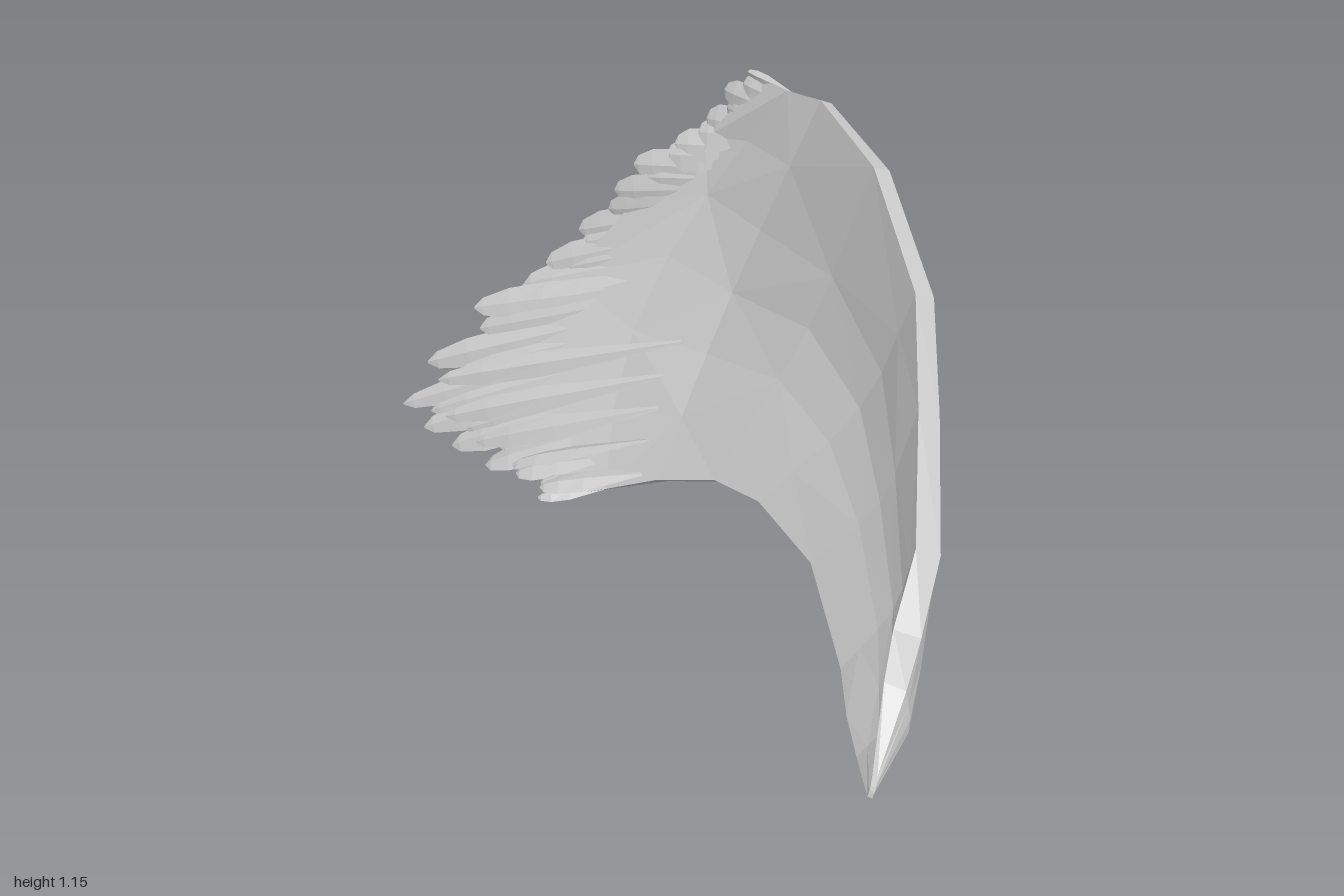
import * as THREE from 'three';

const V = (p) => new THREE.Vector3(...p);
const curve = (pts) => new THREE.CatmullRomCurve3(pts.map(V));
const material = new THREE.MeshStandardMaterial({ color: 0xcccccc, flatShading: true, side: THREE.DoubleSide });

// Chordwise sections from the front tip back to the feather roots: lower edge, middle, upper edge
const sections = [
  [[0.235, 0.18, 1.0], [0.24, 0.195, 0.998], [0.25, 0.22, 0.98]],
  [[0.285, 0.155, 0.88], [0.345, 0.25, 0.89], [0.335, 0.355, 0.88]],
  [[0.31, 0.167, 0.76], [0.4, 0.29, 0.77], [0.4, 0.4, 0.77]],
  [[0.33, 0.19, 0.62], [0.44, 0.35, 0.63], [0.485, 0.5, 0.62]],
  [[0.33, 0.275, 0.32], [0.47, 0.47, 0.38], [0.545, 0.71, 0.38]],
  [[0.26, 0.29, 0.06], [0.48, 0.58, 0.14], [0.575, 0.91, 0.2]],
  [[0.18, 0.26, -0.1], [0.42, 0.65, -0.14], [0.55, 1.09, -0.1]],
  [[0.05, 0.18, -0.25], [0.29, 0.6, -0.45], [0.49, 1.14, -0.4]],
  [[-0.08, 0.1, -0.36], [0, 0.33, -0.58], [0.15, 0.62, -0.66], [0.3, 0.88, -0.63], [0.42, 1.13, -0.51]],
];
const thickness = [0.012, 0.05, 0.065, 0.065, 0.06, 0.055, 0.05, 0.04, 0.025, 0.006];
const ROOT = sections.length - 1;

// Feather tips along the trailing edge, bottom to top
const tips = [
  [-0.27, 0.05, -0.42], [-0.31, 0.05, -0.55], [-0.38, 0.01, -0.67], [-0.46, 0.005, -0.8],
  [-0.53, 0.02, -0.89], [-0.58, 0.05, -0.98], [-0.5, 0.17, -1.0], [-0.36, 0.35, -0.97],
  [-0.22, 0.44, -0.92], [-0.16, 0.51, -0.9], [-0.07, 0.62, -0.87], [0.02, 0.76, -0.81],
  [0.07, 0.84, -0.79], [0.17, 0.91, -0.74], [0.25, 0.99, -0.71], [0.29, 1.08, -0.68], [0.34, 1.14, -0.64],
];
const rootCurve = curve(sections[ROOT]);
const innerCurve = curve(sections[ROOT - 1]);
const tipCurve = curve(tips);
const COLS = 7;

function meshFrom(name, positions, index) {
  const g = new THREE.BufferGeometry();
  g.setAttribute('position', new THREE.Float32BufferAttribute(positions, 3));
  g.setIndex(index);
  g.computeVertexNormals();
  const m = new THREE.Mesh(g, material);
  m.name = name;
  return m;
}

// Curved shell: an outer skin, an inner skin offset along each section's mean normal, and a rim
function shell() {
  const rows = sections.map((s) => {
    const c = curve(s);
    return Array.from({ length: COLS }, (_, i) => c.getPoint(i / (COLS - 1)));
  });
  rows.push(rows[ROOT].map((p, i) => p.clone().lerp(tipCurve.getPoint(i / (COLS - 1)), 0.7)));
  const R = rows.length;
  const N = R * COLS;
  const id = (r, c) => r * COLS + c;
  const outer = [];
  for (let r = 0; r < R - 1; r++) {
    for (let c = 0; c < COLS - 1; c++) {
      const [a, b, d, e] = [id(r, c), id(r + 1, c), id(r, c + 1), id(r + 1, c + 1)];
      outer.push(...((r + c) % 2 ? [a, b, d, b, e, d] : [a, b, e, a, e, d]));
    }
  }
  const positions = rows.flat().flatMap((p) => p.toArray());
  const normals = meshFrom('skin', positions, outer).geometry.attributes.normal;
  rows.forEach((row, r) => {
    const mean = new THREE.Vector3();
    row.forEach((_, c) => mean.add(new THREE.Vector3().fromBufferAttribute(normals, id(r, c))));
    mean.normalize();
    row.forEach((p) => positions.push(...p.clone().addScaledVector(mean, -thickness[r]).toArray()));
  });
  const index = [...outer];
  for (let i = 0; i < outer.length; i += 3) index.push(outer[i] + N, outer[i + 2] + N, outer[i + 1] + N);
  const loop = [];
  for (let r = 0; r < R - 1; r++) loop.push(id(r, 0));
  for (let c = 0; c < COLS - 1; c++) loop.push(id(R - 1, c));
  for (let r = R - 1; r > 0; r--) loop.push(id(r, COLS - 1));
  for (let c = COLS - 1; c > 0; c--) loop.push(id(0, c));
  loop.forEach((a, i) => {
    const b = loop[(i + 1) % loop.length];
    index.push(a, a + N, b, b, a + N, b + N);
  });
  return meshFrom('wingShell', positions, index);
}

// Tapered blade with a diamond cross-section, running from a sunken root to a tip
function feather(name, root, tip, across, width, thick) {
  const dir = tip.clone().sub(root).normalize();
  const normal = dir.clone().cross(across).normalize();
  const side = normal.clone().cross(dir).normalize();
  const positions = [];
  const index = [];
  const profile = [[0, 0.15, 0.1], [0.55, 0.9, 0.8], [0.8, 0.85, 0.9], [0.95, 0.5, 0.5], [1, 0.06, 0.1]];
  profile.forEach(([s, w, t], r) => {
    const p = root.clone().lerp(tip, s).addScaledVector(normal, -0.008);
    [[1, 0], [0, 1], [-1, 0], [0, -1]].forEach(([a, b], k) => {
      positions.push(...p.clone().addScaledVector(side, a * w * width).addScaledVector(normal, b * t * thick).toArray());
      if (r === 0) return;
      const q = (r - 1) * 4;
      const k2 = (k + 1) % 4;
      index.push(q + k, q + k2, q + 4 + k, q + k2, q + 4 + k2, q + 4 + k);
    });
  });
  index.push(0, 2, 1, 0, 3, 2, 16, 17, 18, 16, 18, 19);
  return meshFrom(name, positions, index);
}

export function createModel() {
  const group = new THREE.Group();
  group.name = 'wing';
  group.add(shell());

  // Main feathers with shorter ones filling the gaps between them
  const last = tips.length - 1;
  for (let i = 0; i <= last * 2; i++) {
    const u = i / (last * 2);
    const main = i % 2 === 0;
    const root = rootCurve.getPoint(u);
    const tip = tipCurve.getPoint(u);
    const across = tipCurve.getTangent(u);
    const gap = tipCurve.getPoint(Math.min(1, u + 0.5 / last)).distanceTo(tipCurve.getPoint(Math.max(0, u - 0.5 / last)));
    if (!main) tip.lerp(root, 0.1 + 0.06 * (i % 3));
    const width = u === 1 ? 0.015 : Math.min(gap * 0.45, 0.05);
    group.add(feather(main ? 'feather' : 'fillerFeather', root, tip, across, width, u < 0.4 ? 0.016 : 0.009));
  }

  // Raised inner feathers fanning from the body toward the lower edge
  for (let i = 0; i < 5; i++) {
    const u = 0.02 + i * 0.08;
    const root = innerCurve.getPoint(u).lerp(rootCurve.getPoint(u), 0.4).add(V([-0.015, 0.015, 0.02]));
    const tip = tipCurve.getPoint(u).lerp(root, 0.14).add(V([-0.02, 0.02, 0.025]));
    group.add(feather('innerFeather', root, tip, tipCurve.getTangent(u), 0.04, 0.016));
  }
  return group;
}
